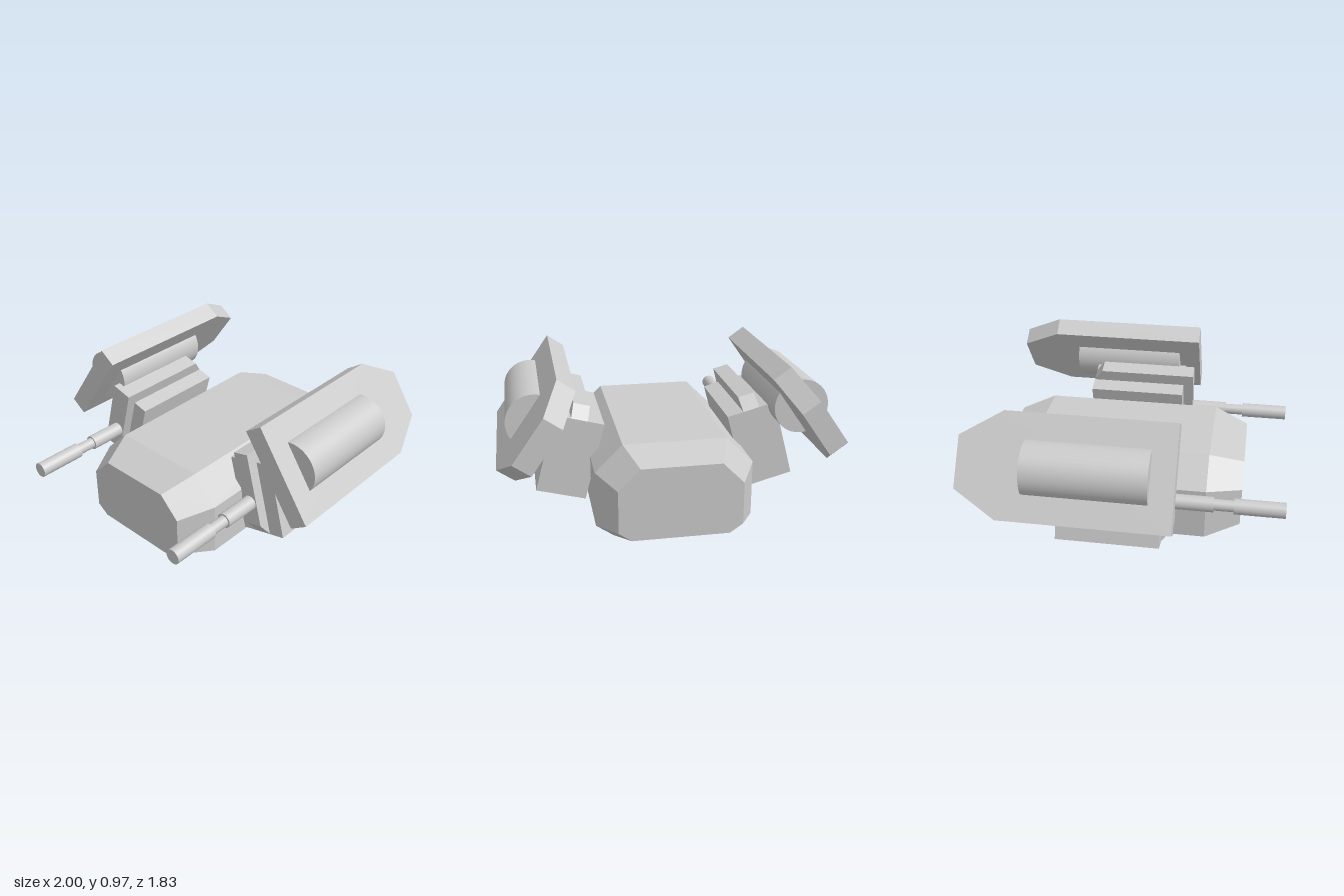
import * as THREE from 'three';
import { ConvexGeometry } from 'three/addons/geometries/ConvexGeometry.js';

const flat = new THREE.MeshStandardMaterial({ color: 0xcccccc, flatShading: true });
const smooth = new THREE.MeshStandardMaterial({ color: 0xcccccc });

function part(name, geometry, material = flat) {
  const mesh = new THREE.Mesh(geometry, material);
  mesh.name = name;
  return mesh;
}

// Slab from a [z, y] side profile, with its thickness centred on x
function slab(points, thickness) {
  const shape = new THREE.Shape(points.map(([z, y]) => new THREE.Vector2(z, y)));
  return new THREE.ExtrudeGeometry(shape, { depth: thickness, bevelEnabled: false })
    .translate(0, 0, -thickness / 2)
    .rotateY(-Math.PI / 2);
}

// Round bar along z, from z0 to z1
function bar(radius, z0, z1) {
  return new THREE.CylinderGeometry(radius, radius, z1 - z0, 40)
    .rotateX(Math.PI / 2)
    .translate(0, 0, (z0 + z1) / 2);
}

// Eight-sided hull with narrower front and back faces
function hull() {
  const middle = [[0.36, 0], [0.46, 0.07], [0.46, 0.4], [0.3, 0.56]];
  const end = [[0.28, 0.06], [0.355, 0.112], [0.355, 0.365], [0.23, 0.49]];
  const points = [];
  for (const [z, ring] of [[-0.84, end], [-0.64, middle], [0.45, middle], [0.66, end]]) {
    for (const [x, y] of ring) {
      points.push(new THREE.Vector3(x, y, z), new THREE.Vector3(-x, y, z));
    }
  }
  return part('hull', new ConvexGeometry(points));
}

// Tilted gun housing with a centre spine and a stepped barrel
function gunPod(side) {
  const pod = new THREE.Group();
  pod.name = side > 0 ? 'leftGunPod' : 'rightGunPod';
  pod.add(part('gunHousing', new THREE.BoxGeometry(0.3, 0.48, 0.61).translate(0, 0, -0.092)));
  pod.add(part('gunSpine', slab([
    [0.278, -0.15], [0.212, -0.239], [-0.397, -0.239],
    [-0.397, 0.24], [-0.34, 0.318], [0.278, 0.318],
  ], 0.1)));
  pod.add(part('barrelBase', bar(0.045, 0.25, 0.505), smooth));
  pod.add(part('barrelNeck', bar(0.034, 0.5, 0.625), smooth));
  pod.add(part('barrelMuzzle', bar(0.046, 0.62, 0.915), smooth));
  pod.position.set(side * 0.577, 0.4, 0);
  pod.rotation.z = side * THREE.MathUtils.degToRad(15);
  return pod;
}

// Tilted plate with a tapered rear and a drum set through it
function wing(side) {
  const group = new THREE.Group();
  group.name = side > 0 ? 'leftWing' : 'rightWing';
  group.add(part('wingPlate', slab([
    [0.302, -0.303], [0.302, 0.303], [-0.67, 0.303],
    [-0.917, 0.15], [-0.917, -0.15], [-0.67, -0.303],
  ], 0.12)));
  group.add(part('wingDrum', bar(0.163, -0.537, 0.165), smooth));
  group.position.set(side * 0.775, 0.685, 0);
  group.rotation.z = side * THREE.MathUtils.degToRad(35);
  return group;
}

export function createModel() {
  const model = new THREE.Group();
  model.name = 'model';
  model.add(hull());
  for (const side of [1, -1]) model.add(gunPod(side), wing(side));
  return model;
}
